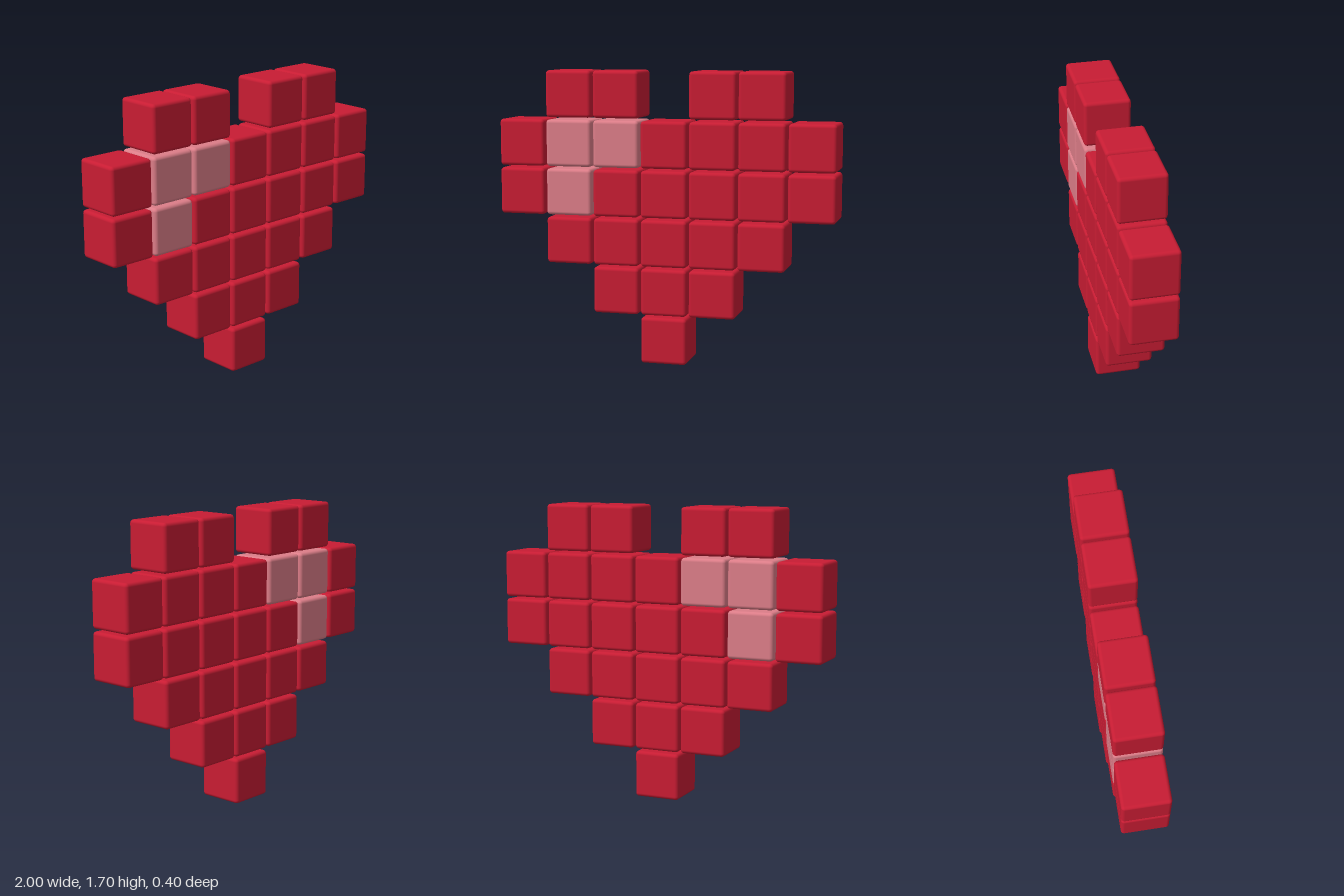
import * as THREE from 'three';
import { RoundedBoxGeometry } from 'three/addons/geometries/RoundedBoxGeometry.js';

const PITCH = 0.2857; // spacing between cube centres
const SIZE = 0.272; // cube edge length
const TURN = 0.068; // slight turn of the whole heart about y

// Heart pattern, top row first: R = red cube, P = pink highlight cube
const ROWS = [
  '.RR.RR.',
  'RPPRRRR',
  'RPRRRRR',
  '.RRRRR.',
  '..RRR..',
  '...R...',
];

export function createModel() {
  const heart = new THREE.Group();
  heart.name = 'cubeHeart';

  const red = new THREE.MeshStandardMaterial({ color: 0xc81c33 });
  const pink = new THREE.MeshStandardMaterial({ color: 0xdc7d88 });
  const cubeGeometry = new RoundedBoxGeometry(SIZE, SIZE, SIZE, 3, 0.02);

  ROWS.forEach((row, r) => {
    const rowGroup = new THREE.Group();
    rowGroup.name = `row${ROWS.length - r}`;
    rowGroup.position.y = SIZE / 2 + (ROWS.length - 1 - r) * PITCH;
    [...row].forEach((cell, c) => {
      if (cell === '.') return;
      const cube = new THREE.Mesh(cubeGeometry, cell === 'P' ? pink : red);
      cube.name = cell === 'P' ? 'highlightCube' : 'heartCube';
      cube.position.x = (c - 3) * PITCH;
      rowGroup.add(cube);
    });
    heart.add(rowGroup);
  });

  heart.rotation.y = TURN;
  const model = new THREE.Group();
  model.name = 'heartModel';
  model.add(heart);
  return model;
}
